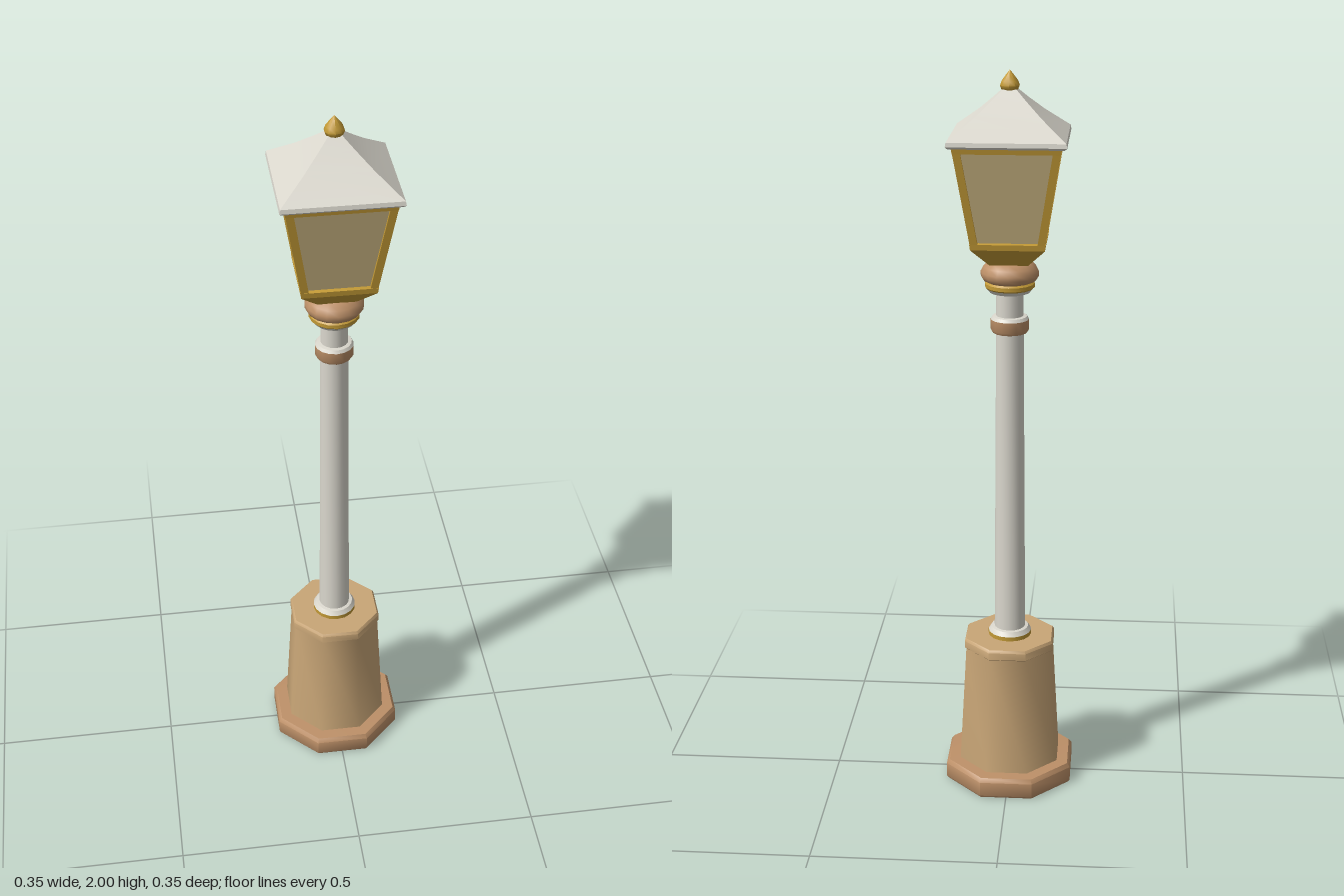
import * as THREE from 'three';
import { toCreasedNormals } from 'three/addons/utils/BufferGeometryUtils.js';

const material = (name, color) => Object.assign(new THREE.MeshStandardMaterial({ color }), { name });

export function createModel() {
  const pale = material('pale metal', 0xdad7cd);
  const gold = material('gold', 0xc39a36);
  const stone = material('tan stone', 0xc9a677);
  const trim = material('brown trim', 0xbd9068);
  const glass = material('amber glass', 0xc5b180);

  const model = new THREE.Group();
  model.name = 'streetLamp';

  const add = (name, geometry, mat, parent = model) => {
    const mesh = new THREE.Mesh(geometry, mat);
    mesh.name = name;
    parent.add(mesh);
    return mesh;
  };

  // Turned part from [radius, y] pairs, bottom to top
  const turned = (name, profile, mat, sides = 16, crease = 0.7) => {
    const points = profile.map(([r, y]) => new THREE.Vector2(r, y));
    return add(name, toCreasedNormals(new THREE.LatheGeometry(points, sides), crease), mat);
  };

  // Eight-sided part with flats facing front and sides; radii are across the flats
  const octagon = (name, profile, mat) => {
    const k = 1 / Math.cos(Math.PI / 8);
    const points = profile.map(([r, y]) => new THREE.Vector2(r * k, y));
    const geometry = new THREE.LatheGeometry(points, 8, Math.PI / 8);
    return add(name, toCreasedNormals(geometry, 0.8), mat);
  };

  // Four-sided part from [halfWidth, y] pairs
  const square = (name, profile, mat, parent) => {
    const points = profile.map(([r, y]) => new THREE.Vector2(r * Math.SQRT2, y));
    const geometry = new THREE.LatheGeometry(points, 4, Math.PI / 4);
    return add(name, toCreasedNormals(geometry, 0.5), mat, parent);
  };

  // Pedestal
  octagon('foot', [[0, 0], [0.172, 0], [0.176, 0.006], [0.176, 0.047], [0.168, 0.058], [0.13, 0.06]], trim);
  octagon('pedestal', [[0.138, 0.055], [0.119, 0.405]], stone);
  octagon('pedestalCap', [[0.115, 0.398], [0.123, 0.405], [0.123, 0.425], [0.118, 0.432], [0, 0.432]], stone);

  // Pole with its collars
  turned('poleRing', [[0.06, 0.43], [0.06, 0.444]], gold);
  turned('poleRingTop', [[0.06, 0.444], [0.052, 0.456], [0.04, 0.458]], pale);
  turned('pole', [[0.043, 0.45], [0.036, 1.44]], pale);
  turned('collar', [[0.036, 1.312], [0.046, 1.314], [0.051, 1.322], [0.051, 1.35]], trim);
  turned('collarTop', [[0.051, 1.35], [0.046, 1.358], [0.035, 1.36]], pale);

  // Neck under the lantern
  turned('neckUnderside', [[0.034, 1.42], [0.054, 1.424], [0.062, 1.434]], pale);
  turned('neckRing', [[0.062, 1.434], [0.066, 1.438], [0.066, 1.448], [0.06, 1.454]], gold);
  turned('neckKnob', [[0.056, 1.45], [0.07, 1.457], [0.077, 1.468], [0.077, 1.479],
    [0.07, 1.493], [0.056, 1.506], [0, 1.51]], trim, 16, 1.2);

  // Lantern
  const lantern = new THREE.Group();
  lantern.name = 'lantern';
  model.add(lantern);
  square('lanternTray', [[0, 1.505], [0.05, 1.505], [0.096, 1.555], [0.098, 1.57], [0.086, 1.573]], gold, lantern);
  square('panes', [[0.087, 1.565], [0.132, 1.825]], glass, lantern);
  square('topRail', [[0.128, 1.808], [0.136, 1.808], [0.139, 1.824]], gold, lantern);

  // Leaning corner posts
  for (const sx of [-1, 1]) {
    for (const sz of [-1, 1]) {
      const geometry = new THREE.BoxGeometry(0.02, 0.26, 0.02).translate(0, 0.13, 0);
      const p = geometry.attributes.position;
      for (let i = 0; i < p.count; i++) {
        const lean = 0.086 + 0.042 * (p.getY(i) / 0.26);
        p.setXYZ(i, p.getX(i) + sx * lean, p.getY(i) + 1.563, p.getZ(i) + sz * lean);
      }
      geometry.computeVertexNormals();
      add('cornerPost', geometry, gold, lantern);
    }
  }

  // Roof, slightly hollowed, with a finial
  square('roof', [[0, 1.822], [0.146, 1.822], [0.152, 1.828], [0.15, 1.839], [0.085, 1.89],
    [0.045, 1.926], [0.018, 1.952], [0, 1.954]], pale, lantern);
  turned('finial', [[0.012, 1.945], [0.022, 1.951], [0.026, 1.961], [0.022, 1.972], [0.01, 1.988], [0, 2]], gold, 10, 0.9);

  return model;
}
